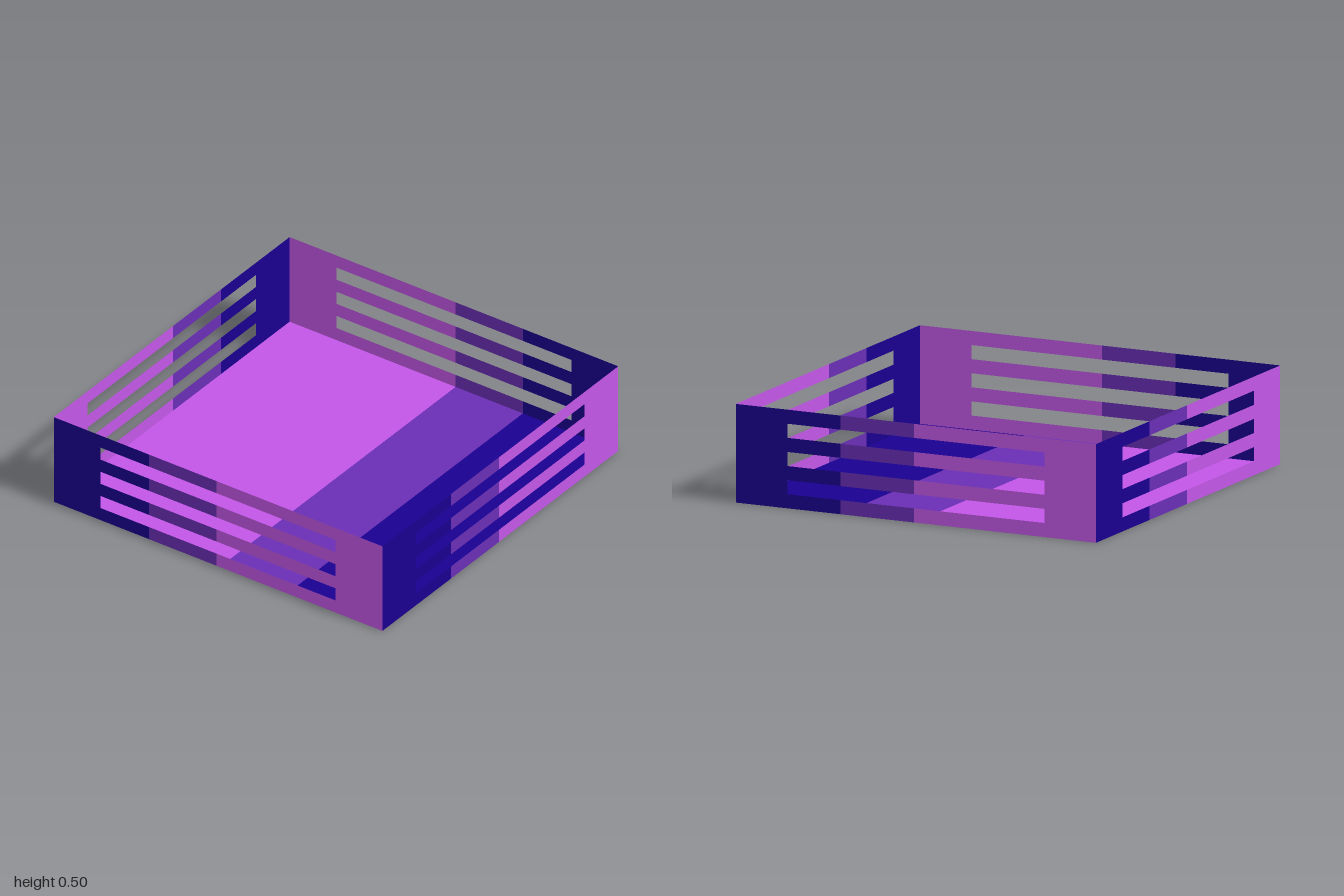
import * as THREE from 'three';
import { mergeGeometries } from 'three/addons/utils/BufferGeometryUtils.js';

const paint = (name, color) => {
  const m = new THREE.MeshStandardMaterial({ color, side: THREE.DoubleSide });
  m.name = name;
  return m;
};

const HEIGHT = 0.5;
const STEP = HEIGHT / 7;   // slats and slots share one height
const SLOT = 5 / 7;        // half length of the slots

// Flat upright rectangle facing +z
const panel = (x0, x1, y0, y1) =>
  new THREE.PlaneGeometry(x1 - x0, y1 - y0).translate((x0 + x1) / 2, (y0 + y1) / 2, 0);

// One colour band of a wall: solid outside the slots, four slats between them
function wallBand(x0, x1) {
  const parts = [];
  if (x0 < -SLOT) parts.push(panel(x0, -SLOT, 0, HEIGHT));
  if (x1 > SLOT) parts.push(panel(SLOT, x1, 0, HEIGHT));
  const a = Math.max(x0, -SLOT), b = Math.min(x1, SLOT);
  for (let i = 0; i < 7; i += 2) parts.push(panel(a, b, i * STEP, (i + 1) * STEP));
  return mergeGeometries(parts);
}

export function createModel() {
  const model = new THREE.Group();
  model.name = 'slattedTray';

  const bands = [
    { name: 'Indigo', from: -1, to: -0.42, material: paint('indigo', 0x1a0090) },
    { name: 'Violet', from: -0.42, to: -0.01, material: paint('violet', 0x6a2fb6) },
    { name: 'Orchid', from: -0.01, to: 1, material: paint('orchid', 0xca5af0) },
  ];

  // Four identical walls turned around the centre; the model's left is +x
  ['front', 'left', 'back', 'right'].forEach((side, i) => {
    const wall = new THREE.Group();
    wall.name = side + 'Wall';
    for (const band of bands) {
      const mesh = new THREE.Mesh(wallBand(band.from, band.to), band.material);
      mesh.name = side + 'Slats' + band.name;
      mesh.position.z = 1;
      wall.add(mesh);
    }
    wall.rotation.y = i * Math.PI / 2;
    model.add(wall);
  });

  // Floor, banded from indigo at the front to orchid at the back
  for (const band of bands) {
    const geometry = new THREE.PlaneGeometry(2, band.to - band.from)
      .rotateX(-Math.PI / 2)
      .translate(0, 0, -(band.from + band.to) / 2);
    const mesh = new THREE.Mesh(geometry, band.material);
    mesh.name = 'floor' + band.name;
    model.add(mesh);
  }
  return model;
}
